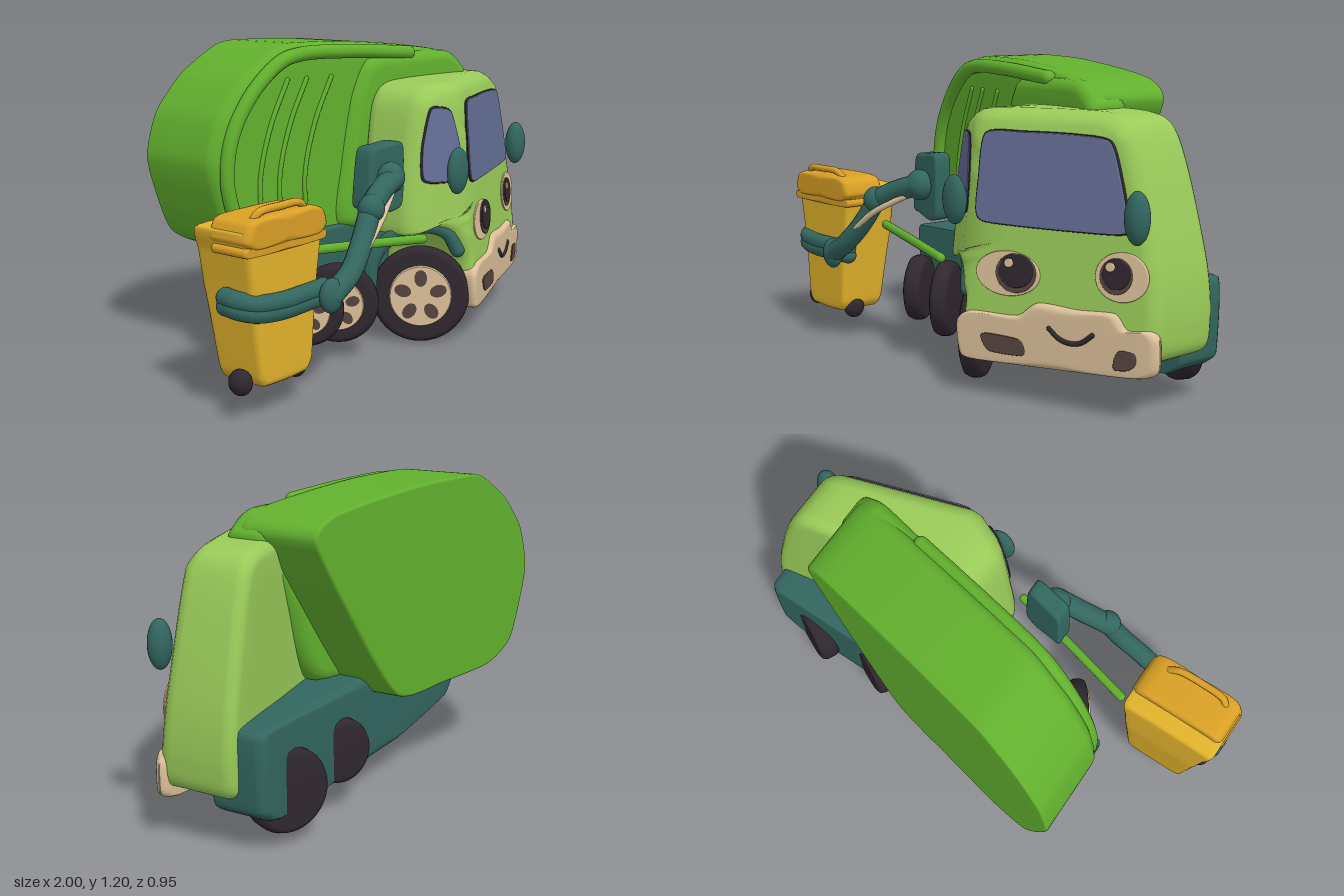
import * as THREE from 'three';

const material = (name, color) => {
  const m = new THREE.MeshStandardMaterial({ color });
  m.name = name;
  return m;
};

// Closed, rounded solid from an outline, between two height rules front(x, y) and back(x, y)
function reliefGeometry(points, front, back, round, tension = 0.35, backRound = round) {
  const pts = points.map(([x, y]) => new THREE.Vector3(x, y, 0));
  if (THREE.ShapeUtils.area(pts) < 0) pts.reverse();
  const n = pts.length * 6;
  const edge = new THREE.CatmullRomCurve3(pts, true, 'catmullrom', tension).getPoints(n).slice(0, n);
  const box = new THREE.Box3().setFromPoints(edge);
  const c = box.getCenter(new THREE.Vector3());
  const half = (radius, side) => {
    const list = [];
    for (let k = 0; k <= 4; k++) {
      const a = (k / 4) * Math.PI / 2;
      list.push({ inset: radius * (1 - Math.cos(a)), drop: radius * (1 - Math.sin(a)), s: 1, side });
    }
    for (const s of [0.85, 0.65, 0.4, 0.2, 0]) list.push({ inset: radius, drop: 0, s, side });
    return list;
  };
  const rings = [...half(backRound, -1).reverse(), ...half(round, 1)];
  const pos = [], index = [];
  rings.forEach((r, j) => {
    for (let i = 0; i < n; i++) {
      const dx = edge[i].x - c.x, dy = edge[i].y - c.y;
      const k = r.s * Math.max(0, 1 - r.inset / Math.hypot(dx, dy));
      const x = c.x + dx * k, y = c.y + dy * k;
      pos.push(x, y, r.side > 0 ? front(x, y) - r.drop : back(x, y) + r.drop);
      if (j < rings.length - 1) {
        const a = j * n + i, b = j * n + (i + 1) % n;
        index.push(a, b, b + n, a, b + n, a + n);
      }
    }
  });
  const g = new THREE.BufferGeometry();
  g.setAttribute('position', new THREE.Float32BufferAttribute(pos, 3));
  g.setIndex(index);
  g.computeVertexNormals();
  return g;
}

const ellipse = (cx, cy, rx, ry) => Array.from({ length: 12 }, (_, i) => {
  const a = i / 12 * Math.PI * 2;
  return [cx + rx * Math.cos(a), cy + ry * Math.sin(a)];
});

// Height rules of the slanted surfaces
const hopperFront = x => -0.12 + 0.2 * (x + 0.62);
const hopperBack = x => -0.48 + 0.21 * (x + 0.62);
const cabFront = (x, y) => Math.min(0.41 - 0.32 * (x - 0.25), 0.41 + 0.5 * (x - 0.25))
  - 0.1 * (y - 0.65) - 0.4 * Math.max(0, y - 0.97);
const bumperFront = x => 0.465 - 0.33 * (x - 0.25);

export function createModel() {
  const truck = new THREE.Group();
  truck.name = 'garbageTruck';
  const lime = material('limeGreen', 0x9acb59), green = material('leafGreen', 0x62b02e);
  const teal = material('darkTeal', 0x33665f), rubber = material('rubber', 0x30272f);
  const cream = material('cream', 0xdcc09a), glass = material('glass', 0x656e96);
  const yellow = material('binYellow', 0xe2b32c), orange = material('lidOrange', 0xdaa026);
  const brown = material('brown', 0x57443f);

  const add = (name, geo, mat, parent = truck) => {
    const m = new THREE.Mesh(geo, mat);
    m.name = name;
    parent.add(m);
    return m;
  };
  const relief = (name, mat, ...shape) => add(name, reliefGeometry(...shape), mat);
  const plate = (name, mat, pts, base, lift, tension) =>
    relief(name, mat, pts, (x, y) => base(x, y) + lift, (x, y) => base(x, y) + lift - 0.008, 0.003, tension);
  const ball = (name, mat, p, rx, ry, rz) => {
    const m = add(name, new THREE.SphereGeometry(1, 24, 16), mat);
    m.position.set(...p);
    m.scale.set(rx, ry, rz);
  };
  // Tube with rounded ends
  const tube = (name, mat, pts, r) => {
    const curve = new THREE.CatmullRomCurve3(pts.map(p => new THREE.Vector3(...p)));
    add(name, new THREE.TubeGeometry(curve, pts.length * 8, r, 12), mat);
    [pts[0], pts[pts.length - 1]].forEach(p => ball(name + 'End', mat, p, r, r, r));
  };

  // Hopper body and its thicker forward section
  relief('hopper', green, [[-0.625, 0.79], [-0.58, 0.95], [-0.47, 1.085], [-0.33, 1.18], [-0.24, 1.205],
    [0.05, 1.2], [0.32, 1.175], [0.54, 1.14], [0.62, 1.06], [0.45, 0.77], [0.19, 0.41], [-0.1, 0.395],
    [-0.38, 0.405], [-0.53, 0.48], [-0.6, 0.66]], hopperFront, hopperBack, 0.05, 0.35, 0.012);
  relief('hopperForwardSection', green, [[-0.04, 0.47], [-0.03, 0.72], [0.02, 0.98], [0.09, 1.12], [0.2, 1.145],
    [0.52, 1.145], [0.61, 1.09], [0.63, 1.03], [0.5, 0.75], [0.35, 0.47]],
    x => hopperFront(x) + 0.035, x => hopperFront(x) - 0.15, 0.05);
  const onHopper = (pts, lift) => pts.map(([x, y]) => [x, y, hopperFront(x) + lift]);
  tube('hopperRim', green, onHopper([[-0.54, 0.55], [-0.575, 0.72], [-0.55, 0.88], [-0.46, 1.03], [-0.33, 1.14],
    [-0.24, 1.165], [0, 1.165], [0.31, 1.145]], 0.01), 0.028);
  [-0.41, -0.32, -0.2].forEach(x => tube('hopperRib', green,
    onHopper([[x, 0.5], [x - 0.01, 0.7], [x + 0.04, 0.9], [x + 0.12, 1.07]], 0), 0.01));
  tube('sideRail', green, [[-0.55, 0.495, 0.21], [-0.27, 0.48, 0.285], [0.02, 0.46, 0.36]], 0.018);

  // Chassis
  relief('chassis', teal, [[-0.57, 0.47], [-0.57, 0.31], [-0.48, 0.21], [-0.05, 0.14], [0.4, 0.125], [0.85, 0.125],
    [0.93, 0.18], [0.93, 0.46], [0.6, 0.47], [0, 0.48]], () => 0.02, () => -0.2, 0.015, 0.15, 0.04);

  // Cab
  relief('cab', lime, [[0.01, 0.47], [0.035, 0.74], [0.08, 0.96], [0.17, 1.035], [0.45, 1.05], [0.72, 1.045],
    [0.82, 0.995], [0.89, 0.82], [0.965, 0.52], [0.98, 0.32], [0.935, 0.21], [0.6, 0.19], [0.27, 0.19],
    [0.24, 0.35], [0.18, 0.45], [0.09, 0.49]], cabFront, x => 0.06 - 0.17 * x, 0.05, 0.4);

  // Windows: a dark surround with the glass on top
  const windshield = [[0.3, 0.96], [0.45, 0.972], [0.65, 0.972], [0.77, 0.955], [0.82, 0.83], [0.858, 0.68],
    [0.83, 0.648], [0.6, 0.642], [0.33, 0.645], [0.285, 0.68], [0.285, 0.8]];
  const sideWindow = [[0.075, 0.68], [0.08, 0.8], [0.12, 0.94], [0.16, 0.95], [0.2, 0.93], [0.225, 0.8],
    [0.222, 0.68], [0.15, 0.665]];
  const grow = (pts, cx, cy, s) => pts.map(([x, y]) => [cx + (x - cx) * s, cy + (y - cy) * s]);
  plate('windshieldSurround', rubber, grow(windshield, 0.57, 0.81, 1.02), cabFront, 0.006);
  plate('windshield', glass, windshield, cabFront, 0.011);
  plate('sideWindowSurround', rubber, grow(sideWindow, 0.15, 0.81, 1.05), cabFront, 0.006);
  plate('sideWindow', glass, sideWindow, cabFront, 0.011);

  // Eyes: cream white, brown ring, dark pupil, highlight
  [[0.425, 0.47, 0.125, 0.08, 0.46, 0.475, 0.078, 0.07], [0.85, 0.505, 0.095, 0.085, 0.832, 0.507, 0.058, 0.062]]
    .forEach(([x, y, rx, ry, px, py, prx, pry]) => {
      plate('eye', cream, ellipse(x, y, rx, ry), cabFront, 0.007, 0.5);
      plate('iris', brown, ellipse(px, py, prx, pry), cabFront, 0.011, 0.5);
      plate('pupil', rubber, ellipse(px + 0.003, py + 0.008, prx * 0.85, pry * 0.85), cabFront, 0.015, 0.5);
      plate('eyeHighlight', cream, ellipse(px - prx * 0.3, py + pry * 0.5, 0.016, 0.016), cabFront, 0.019, 0.5);
    });

  // Bumper with lamps and smile
  relief('bumper', cream, [[0.235, 0.28], [0.24, 0.18], [0.28, 0.14], [0.6, 0.148], [0.92, 0.165], [0.99, 0.2],
    [0.992, 0.3], [0.96, 0.335], [0.885, 0.33], [0.835, 0.38], [0.7, 0.375], [0.55, 0.38], [0.47, 0.325],
    [0.29, 0.32]], bumperFront, x => Math.max(bumperFront(x) - 0.12, 0.175), 0.025);
  plate('lamp', brown, [[0.345, 0.235], [0.37, 0.25], [0.49, 0.245], [0.515, 0.215], [0.505, 0.185], [0.38, 0.185]],
    bumperFront, 0.005);
  plate('lamp', brown, [[0.85, 0.19], [0.85, 0.23], [0.87, 0.26], [0.92, 0.255], [0.925, 0.22], [0.9, 0.195]],
    bumperFront, 0.005);
  tube('smile', rubber, [[0.61, 0.3], [0.65, 0.268], [0.69, 0.258], [0.73, 0.266], [0.77, 0.298]]
    .map(([x, y]) => [x, y, bumperFront(x)]), 0.009);

  // Mirrors
  ball('mirrorRight', teal, [0.175, 0.71, 0.415], 0.06, 0.092, 0.032);
  ball('mirrorLeft', teal, [0.915, 0.715, 0.235], 0.047, 0.092, 0.042);

  // Wheels: the near ones show a spoked hub
  const wheel = (name, x, y, z, r, turn, w, hub) => {
    const g = new THREE.Group();
    g.name = name;
    const b = 0.025;
    const profile = [[0, -w], [r - b, -w], [r - b * 0.3, -w + b * 0.3], [r, -w + b], [r, w - b],
      [r - b * 0.3, w - b * 0.3], [r - b, w], [0, w]].map(p => new THREE.Vector2(...p));
    add('tyre', new THREE.LatheGeometry(profile, 40).rotateX(Math.PI / 2), rubber, g);
    if (hub) {
      const disc = add('hub', new THREE.CylinderGeometry(r * 0.62, r * 0.64, 0.008, 32).rotateX(Math.PI / 2), cream, g);
      disc.position.z = w + 0.004;
      for (let i = 0; i < 5; i++) {
        const a = Math.PI / 2 + i * Math.PI * 0.4;
        const slot = add('hubSlot', new THREE.CircleGeometry(r * 0.13, 16), brown, g);
        slot.position.set(Math.cos(a) * r * 0.38, Math.sin(a) * r * 0.38, w + 0.01);
        slot.rotation.z = a;
        slot.scale.x = 1.35;
      }
    }
    g.position.set(x, y, z);
    g.rotation.y = turn;
    truck.add(g);
  };
  wheel('frontWheel', 0.138, 0.2, 0.27, 0.195, -0.94, 0.038, true);
  wheel('middleWheel', -0.225, 0.222, 0.14, 0.155, -0.94, 0.038, true);
  wheel('rearWheel', -0.41, 0.237, 0.14, 0.137, -0.94, 0.038, true);
  wheel('farFrontWheel', 0.755, 0.207, -0.17, 0.156, -0.45, 0.045, false);
  wheel('farRearWheel', 0.42, 0.245, -0.18, 0.125, -0.45, 0.045, false);

  // Wheel arch
  tube('wheelArch', teal, [[-0.03, 0.2, 0.14], [-0.025, 0.36, 0.16], [0.03, 0.455, 0.22], [0.11, 0.485, 0.3],
    [0.185, 0.455, 0.36], [0.22, 0.38, 0.39]], 0.028);

  // Lifting arm: bracket, two links, joints and gripper
  relief('armBracket', teal, [[-0.24, 0.62], [-0.22, 0.82], [-0.16, 0.84], [-0.06, 0.84], [-0.05, 0.7], [-0.06, 0.6],
    [-0.12, 0.58], [-0.2, 0.6]], x => 0.31 + 0.15 * (x + 0.15), x => 0.23 + 0.2 * (x + 0.15), 0.015);
  ball('shoulderJoint', teal, [-0.15, 0.72, 0.33], 0.06, 0.06, 0.05);
  tube('upperArm', teal, [[-0.15, 0.72, 0.34], [-0.25, 0.69, 0.36], [-0.355, 0.645, 0.39]], 0.043);
  tube('lowerArm', teal, [[-0.355, 0.645, 0.39], [-0.43, 0.54, 0.41], [-0.52, 0.45, 0.43], [-0.62, 0.39, 0.43]], 0.04);
  ball('elbowJoint', teal, [-0.355, 0.645, 0.395], 0.052, 0.052, 0.048);
  tube('armPiston', cream, [[-0.44, 0.52, 0.44], [-0.33, 0.6, 0.42], [-0.2, 0.67, 0.37]], 0.012);
  ball('wristJoint', teal, [-0.625, 0.39, 0.43], 0.052, 0.062, 0.035);
  [0, 0.03].forEach(dy => tube('gripper', teal, [[-0.6, 0.375 + dy, 0.37], [-0.7, 0.375 + dy, 0.375],
    [-0.83, 0.375 + dy, 0.375], [-0.93, 0.385 + dy, 0.36], [-0.965, 0.395 + dy, 0.31], [-0.965, 0.4 + dy, 0.26]], 0.034));

  // Bin
  relief('bin', yellow, [[-0.985, 0.66], [-0.97, 0.58], [-0.95, 0.45], [-0.915, 0.16], [-0.89, 0.12], [-0.78, 0.115],
    [-0.68, 0.12], [-0.65, 0.16], [-0.62, 0.42], [-0.6, 0.58], [-0.59, 0.66], [-0.78, 0.67]],
    () => 0.37, (x, y) => 0.13 + 0.12 * Math.max(0, 0.45 - y), 0.025, 0.2);
  relief('binRim', orange, [[-0.985, 0.58], [-0.985, 0.61], [-0.78, 0.615], [-0.59, 0.61], [-0.59, 0.58], [-0.78, 0.575]],
    () => 0.38, () => 0.22, 0.012, 0.2);
  relief('binLid', orange, [[-0.99, 0.63], [-0.97, 0.685], [-0.93, 0.7], [-0.78, 0.705], [-0.64, 0.7], [-0.595, 0.68],
    [-0.58, 0.63], [-0.62, 0.6], [-0.78, 0.595], [-0.95, 0.6]], () => 0.385, () => 0.2, 0.025, 0.3);
  tube('binHandle', orange, [[-0.92, 0.69, 0.34], [-0.9, 0.715, 0.35], [-0.8, 0.722, 0.355], [-0.7, 0.718, 0.35],
    [-0.66, 0.69, 0.34]], 0.014);
  [[-0.945, 0.14], [-0.67, 0.13]].forEach(([x, y]) => ball('binWheel', rubber, [x, y, 0.3], 0.036, 0.046, 0.045));
  return truck;
}
